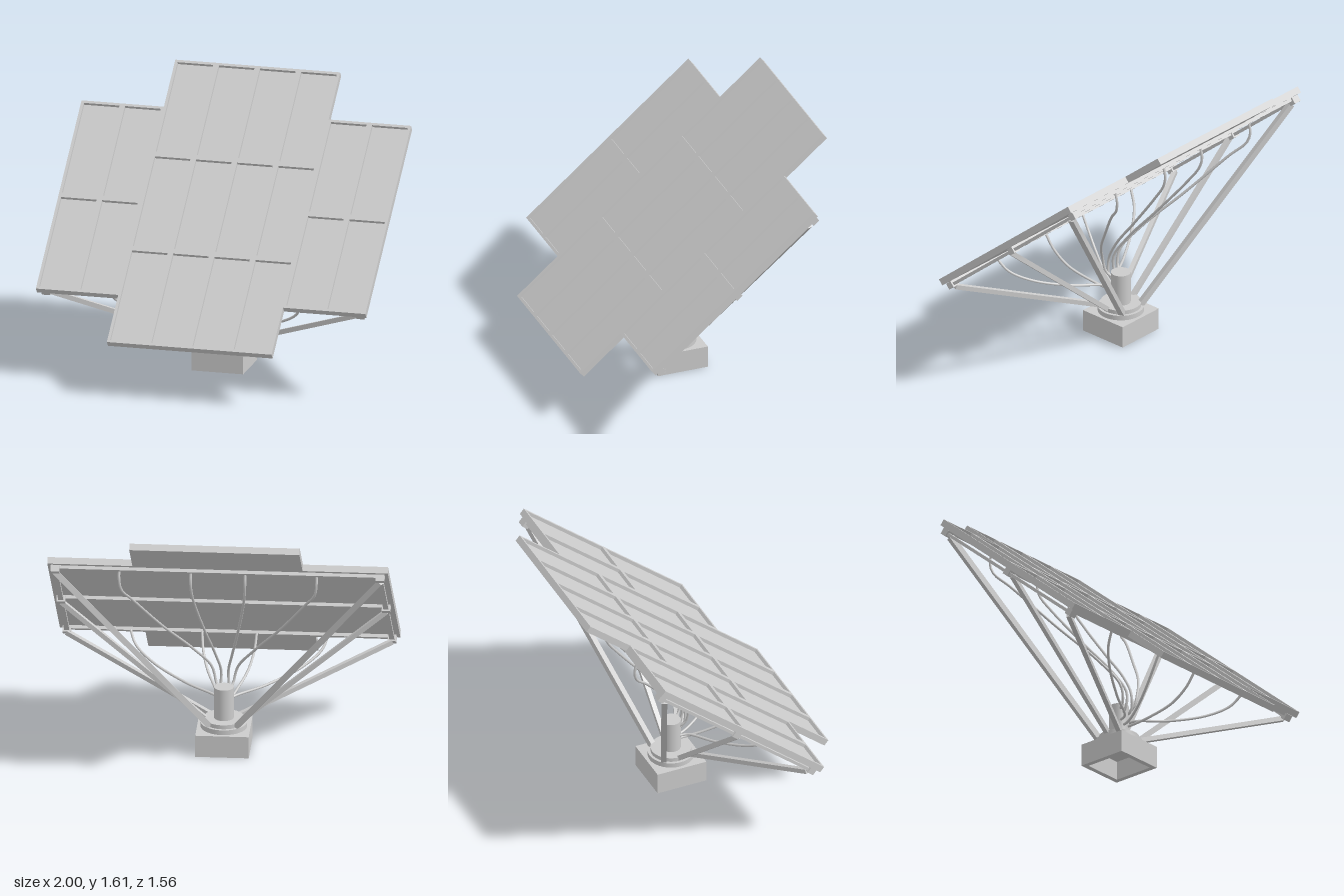
import * as THREE from 'three';

const TILT = THREE.MathUtils.degToRad(40);
const CENTRE_Y = 0.955;
const BASE_Z = -0.007;

const material = new THREE.MeshStandardMaterial({ color: 0xcccccc });

function add(parent, name, geometry, x = 0, y = 0, z = 0) {
  const mesh = new THREE.Mesh(geometry, material);
  mesh.name = name;
  mesh.position.set(x, y, z);
  parent.add(mesh);
  return mesh;
}

const v3 = (x, y, z) => new THREE.Vector3(x, y, z);
const box = (w, h, d) => new THREE.BoxGeometry(w, h, d);

// Square bar between two points
function beam(parent, name, from, to, size) {
  const mesh = add(parent, name, box(size, size, from.distanceTo(to)));
  mesh.position.lerpVectors(from, to, 0.5);
  mesh.lookAt(to);
  return mesh;
}

// Rectangular path, used for holes
function rectPath(x0, y0, x1, y1) {
  return new THREE.Path([[x0, y0], [x0, y1], [x1, y1], [x1, y0]].map((p) => new THREE.Vector2(...p)));
}

// Cross-shaped outline of the panel field: tall centre, shorter wings
function fieldShape() {
  const a = 0.5, b = 2 / 3;
  return new THREE.Shape([
    [-a, -1], [a, -1], [a, -b], [1, -b], [1, b], [a, b],
    [a, 1], [-a, 1], [-a, b], [-1, b], [-1, -b], [-a, -b],
  ].map((p) => new THREE.Vector2(...p)));
}

// Extrude upwards, shape y pointing to -z
function slab(shape, height) {
  return new THREE.ExtrudeGeometry(shape, { depth: height, bevelEnabled: false }).rotateX(-Math.PI / 2);
}

function buildArray() {
  const array = new THREE.Group();
  array.name = 'solarArray';
  array.position.y = CENTRE_Y;
  array.rotation.x = TILT;

  // Frame with one recessed window per cell
  const frame = fieldShape();
  const rim = 0.0165, cellW = 0.25, cellL = 2 / 3;
  for (let col = 0; col < 8; col++) {
    const centre = col >= 2 && col < 6;
    const rows = centre ? 3 : 2;
    for (let row = 0; row < rows; row++) {
      const x = -1 + col * cellW, y = (row - rows / 2) * cellL;
      frame.holes.push(rectPath(x + rim, y + rim, x + cellW - rim, y + cellL - rim));
    }
  }
  add(array, 'panelFrame', slab(frame, 0.02));
  add(array, 'panelCells', slab(fieldShape(), 0.02), 0, -0.02, 0);

  // Cross bars and side rails beneath the panels
  for (const z of [-0.625, 0, 0.625]) add(array, 'crossBar', box(1.94, 0.02, 0.03), 0, -0.03, z);
  for (const side of [-1, 1]) {
    add(array, 'sideRail', box(0.03, 0.018, 1.25), side * 0.955, -0.044, 0);
    for (const z of [-0.63, 0, 0.63]) {
      add(array, 'legBracket', box(0.05, 0.04, 0.045), side * 0.955, -0.042, z);
    }
  }
  return array;
}

function buildBase() {
  const base = new THREE.Group();
  base.name = 'base';
  base.position.z = BASE_Z;

  // Hollow footing, open underneath
  const s = 0.157, t = 0.127;
  const walls = new THREE.Shape([
    new THREE.Vector2(-s, -s), new THREE.Vector2(s, -s), new THREE.Vector2(s, s), new THREE.Vector2(-s, s),
  ]);
  walls.holes.push(rectPath(-t, -t, t, t));
  add(base, 'footingWalls', slab(walls, 0.115));
  add(base, 'footingTop', box(2 * s, 0.02, 2 * s), 0, 0.125, 0);

  // Turntable discs and post
  add(base, 'lowerDisc', new THREE.CylinderGeometry(0.137, 0.137, 0.03, 40), 0, 0.15, 0);
  add(base, 'upperDisc', new THREE.CylinderGeometry(0.12, 0.12, 0.025, 40), 0, 0.1775, 0);
  add(base, 'post', new THREE.CylinderGeometry(0.058, 0.058, 0.195, 40), 0, 0.2875, 0);
  return base;
}

function cable(parent, name, points) {
  const curve = new THREE.CatmullRomCurve3(points);
  add(parent, name, new THREE.TubeGeometry(curve, 40, 0.008, 8, false));
}

export function createModel() {
  const model = new THREE.Group();
  model.name = 'solarTracker';
  model.add(buildBase(), buildArray());

  for (const side of [-1, 1]) {
    // Support legs fanning out to the corners and the middle of each side
    const legs = [
      ['frontLeg', v3(0.08, 0.17, 0.07), v3(0.955, 0.51, 0.435)],
      ['middleLeg', v3(0.1, 0.17, 0), v3(0.955, 0.895, 0)],
      ['backLeg', v3(0.08, 0.17, -0.09), v3(0.955, 1.295, -0.485)],
    ];
    for (const [name, from, to] of legs) {
      from.x *= side;
      to.x *= side;
      beam(model, name, from, to, name === 'backLeg' ? 0.034 : 0.028);
    }

    // Cables from the post to the upper and lower cross bars
    for (const [reach, lift] of [[0.16, 0], [0.58, 0.03]]) {
      const x = reach * side, start = (0.01 + reach * 0.04) * side;
      cable(model, 'upperCable', [
        v3(start, 0.32 + lift, 0.03), v3(start * 1.5, 0.35 + lift, 0.065), v3(x * 0.13, 0.45 + lift, 0.07),
        v3(x * 0.3, 0.59 + lift, -0.01), v3(x * 0.6, 0.82 + lift, -0.2), v3(x * 0.88, 1.07 + lift, -0.4),
        v3(x * 0.98, 1.2, -0.49), v3(x, 1.27, -0.505), v3(x, 1.325, -0.49),
      ]);
      cable(model, 'lowerCable', [
        v3(start, 0.25 + lift, 0.03), v3(start * 1.5, 0.255 + lift, 0.08), v3(x * 0.4, 0.29 + lift, 0.18),
        v3(x * 0.75, 0.36 + lift, 0.3), v3(x * 0.94, 0.45 + lift / 2, 0.385), v3(x, 0.535, 0.44),
      ]);
    }
  }
  return model;
}
